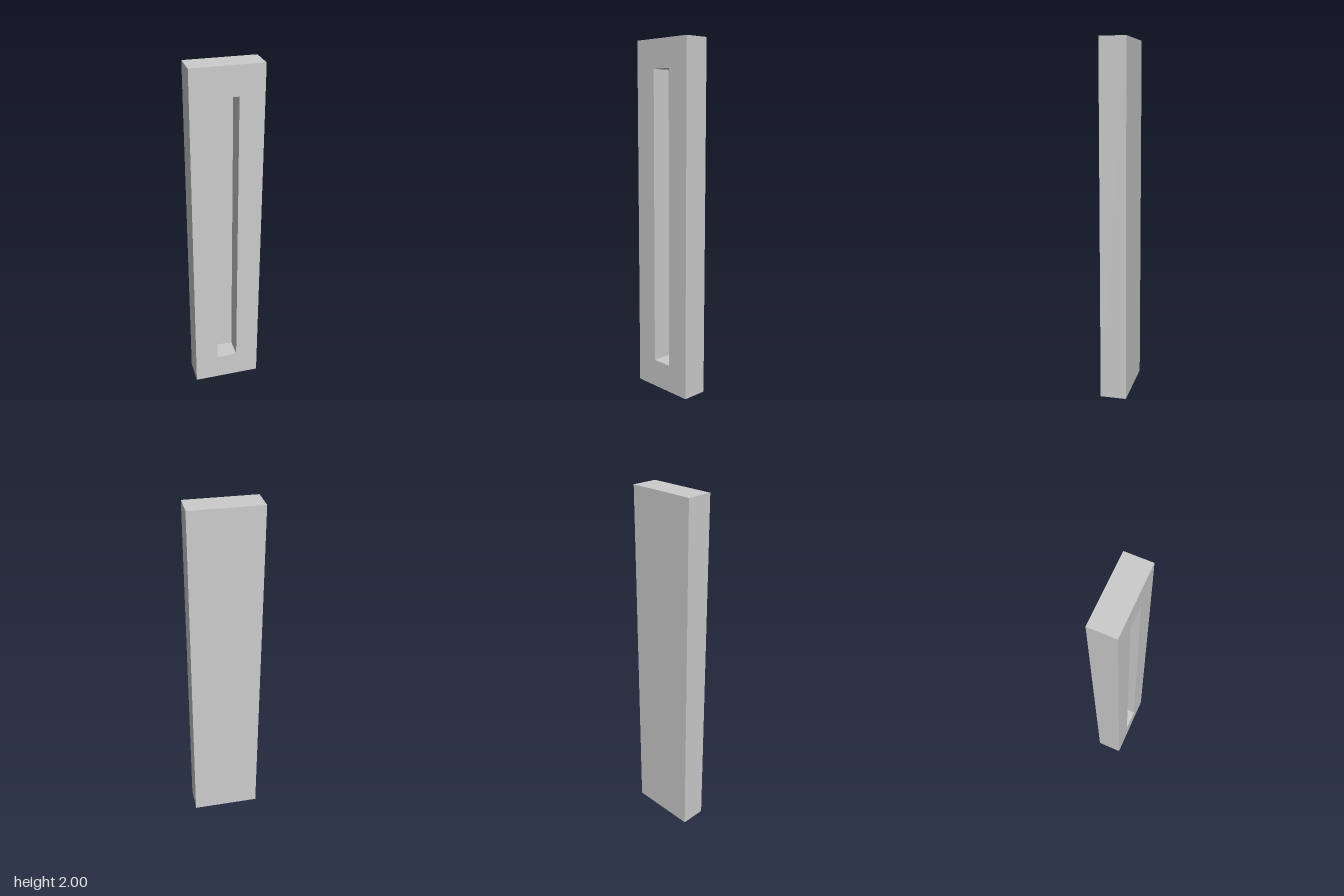
import * as THREE from 'three';

const WIDTH = 0.394, HEIGHT = 2, DEPTH = 0.148;
const SLOT_W = 0.122, SLOT_H = 1.68, SLOT_D = 0.113;

// Box without its front (+z) face
function openBox(w, h, d) {
  const geometry = new THREE.BoxGeometry(w, h, d);
  const index = Array.from(geometry.index.array);
  index.splice(24, 6);
  geometry.setIndex(index);
  geometry.clearGroups();
  return geometry;
}

// Adds a centred rectangle to a shape or path
function rectangle(path, w, h) {
  path.moveTo(-w / 2, -h / 2);
  path.lineTo(w / 2, -h / 2);
  path.lineTo(w / 2, h / 2);
  path.lineTo(-w / 2, h / 2);
  path.closePath();
  return path;
}

export function createModel() {
  const group = new THREE.Group();
  group.name = 'slottedPanel';
  const material = new THREE.MeshStandardMaterial({ color: 0xcccccc });

  const add = (name, geometry, z) => {
    const mesh = new THREE.Mesh(geometry, material);
    mesh.name = name;
    mesh.position.set(0, HEIGHT / 2, z);
    group.add(mesh);
  };

  // Outer sides and solid back
  add('panelBody', openBox(WIDTH, HEIGHT, DEPTH), 0);

  // Front face with the slot opening
  const face = rectangle(new THREE.Shape(), WIDTH, HEIGHT);
  face.holes.push(rectangle(new THREE.Path(), SLOT_W, SLOT_H));
  add('frontFace', new THREE.ShapeGeometry(face), DEPTH / 2);

  // Recessed slot: an open box turned inside out by mirroring
  const slot = openBox(SLOT_W, SLOT_H, SLOT_D).scale(-1, 1, 1);
  slot.computeVertexNormals();
  add('recessedSlot', slot, (DEPTH - SLOT_D) / 2);

  return group;
}
